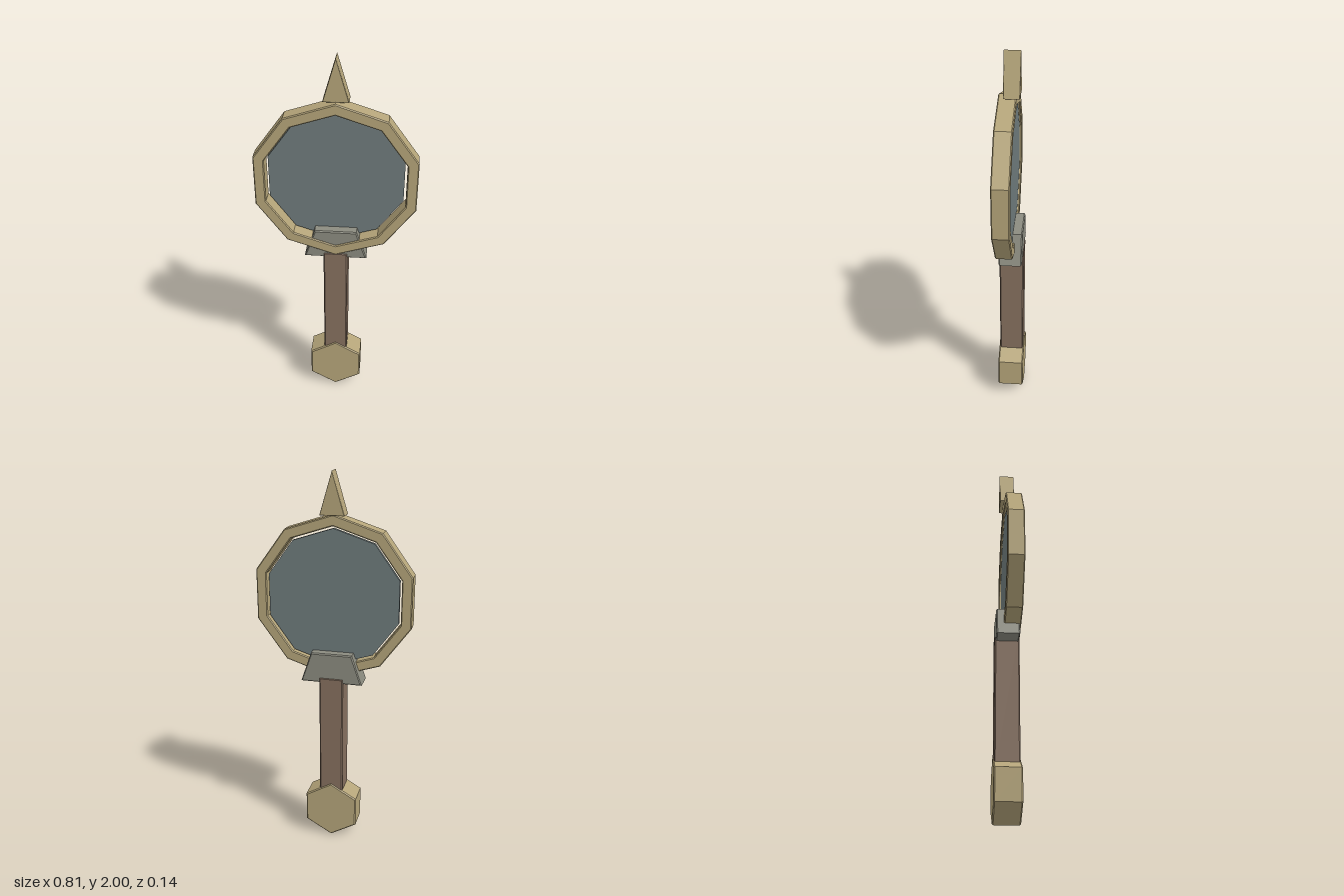
import * as THREE from 'three';

export function createModel() {
  const group = new THREE.Group();
  const mat = (name, color) => {
    const m = new THREE.MeshStandardMaterial({ color });
    m.name = name;
    return m;
  };
  const brass = mat('brass', 0xb5a57a);
  const glass = mat('glass', 0x6f7b7c);
  const wood = mat('wood', 0x86705f);
  const steel = mat('steel', 0x8c8c80);

  // Corners of a regular polygon with one corner straight up
  const polygon = (sides, radius, cy) => Array.from({ length: sides }, (_, i) => {
    const a = Math.PI / 2 + (i / sides) * Math.PI * 2;
    return new THREE.Vector2(Math.cos(a) * radius, cy + Math.sin(a) * radius);
  });
  const points = (list) => list.map(([x, y]) => new THREE.Vector2(x, y));

  // Flat outline extruded from z0 to z1 with a small chamfer inside the outline
  function plate(name, outline, z0, z1, material, bevel = 0.005, hole = null) {
    const shape = new THREE.Shape(outline);
    if (hole) shape.holes.push(new THREE.Path(hole));
    const geo = new THREE.ExtrudeGeometry(shape, {
      depth: z1 - z0 - 2 * bevel,
      bevelEnabled: bevel > 0,
      bevelSize: bevel,
      bevelThickness: bevel,
      bevelOffset: -bevel,
      bevelSegments: 1,
    });
    geo.translate(0, 0, z0 + bevel);
    const mesh = new THREE.Mesh(geo, material);
    mesh.name = name;
    group.add(mesh);
  }

  // Mirror head: ten-sided frame with a separate pane inside
  const cy = 1.365;
  plate('frame', polygon(10, 0.425, cy), -0.021, 0.067, brass, 0.005, polygon(10, 0.368, cy));
  plate('pane', polygon(10, 0.356, cy), -0.01, 0.01, glass, 0);

  // Spike on top of the frame
  plate('spike', points([[-0.063, 1.787], [0.063, 1.787], [0, 2]]), -0.04, 0.04, brass, 0.002);

  // Tapered collar joining frame and handle
  plate('collar', points([[-0.162, 0.92], [0.162, 0.92], [0.108, 1.08], [-0.108, 1.08]]),
    -0.06, 0.06, steel, 0.006);

  // Square handle
  plate('handle', points([[-0.063, 0.25], [0.063, 0.25], [0.063, 0.947], [-0.063, 0.947]]),
    -0.064, 0.064, wood, 0.006);

  // Hexagonal pommel
  plate('pommel', polygon(6, 0.162, 0.162), -0.069, 0.069, brass, 0.006);

  return group;
}
